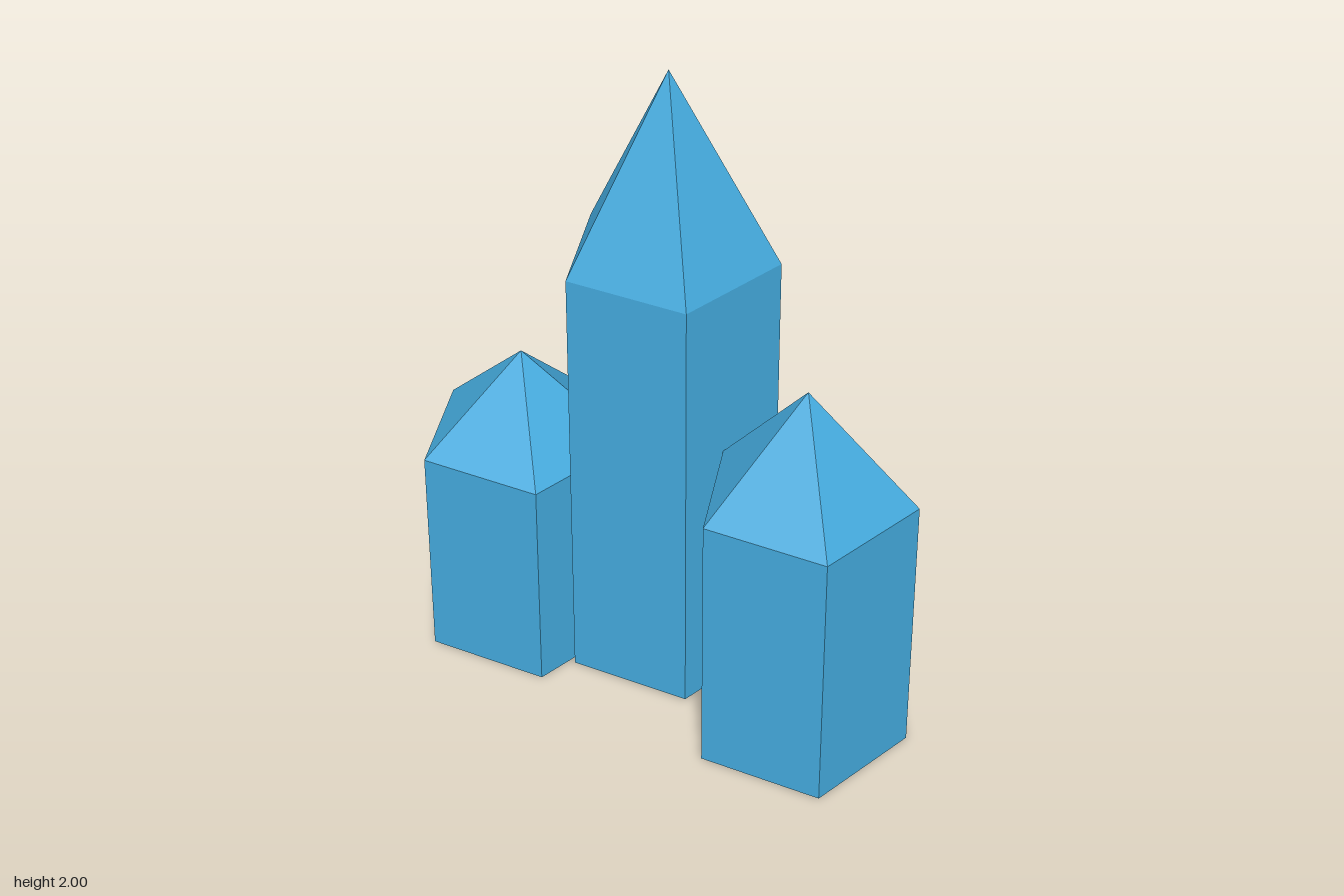
import * as THREE from 'three';

const RADIUS = 0.33;

// Five-sided crystal: flat base, straight shaft and pointed tip, one corner facing back
function crystal(name, x, z, shoulder, height, material) {
  const profile = [[0, 0], [RADIUS, 0], [RADIUS, shoulder], [0, height]]
    .map(([r, y]) => new THREE.Vector2(r, y));
  const mesh = new THREE.Mesh(new THREE.LatheGeometry(profile, 5, Math.PI), material);
  mesh.name = name;
  mesh.position.set(x, 0, z);
  return mesh;
}

export function createModel() {
  const group = new THREE.Group();
  group.name = 'crystalCluster';
  const material = new THREE.MeshStandardMaterial({ color: 0x44aadd, flatShading: true });

  group.add(
    crystal('tallCrystal', -0.056, -0.08, 1.4, 2, material),
    crystal('mediumCrystal', 0.5, 0.142, 0.857, 1.222, material),
    crystal('shortCrystal', -0.5, 0.031, 0.7, 1, material),
  );
  return group;
}
